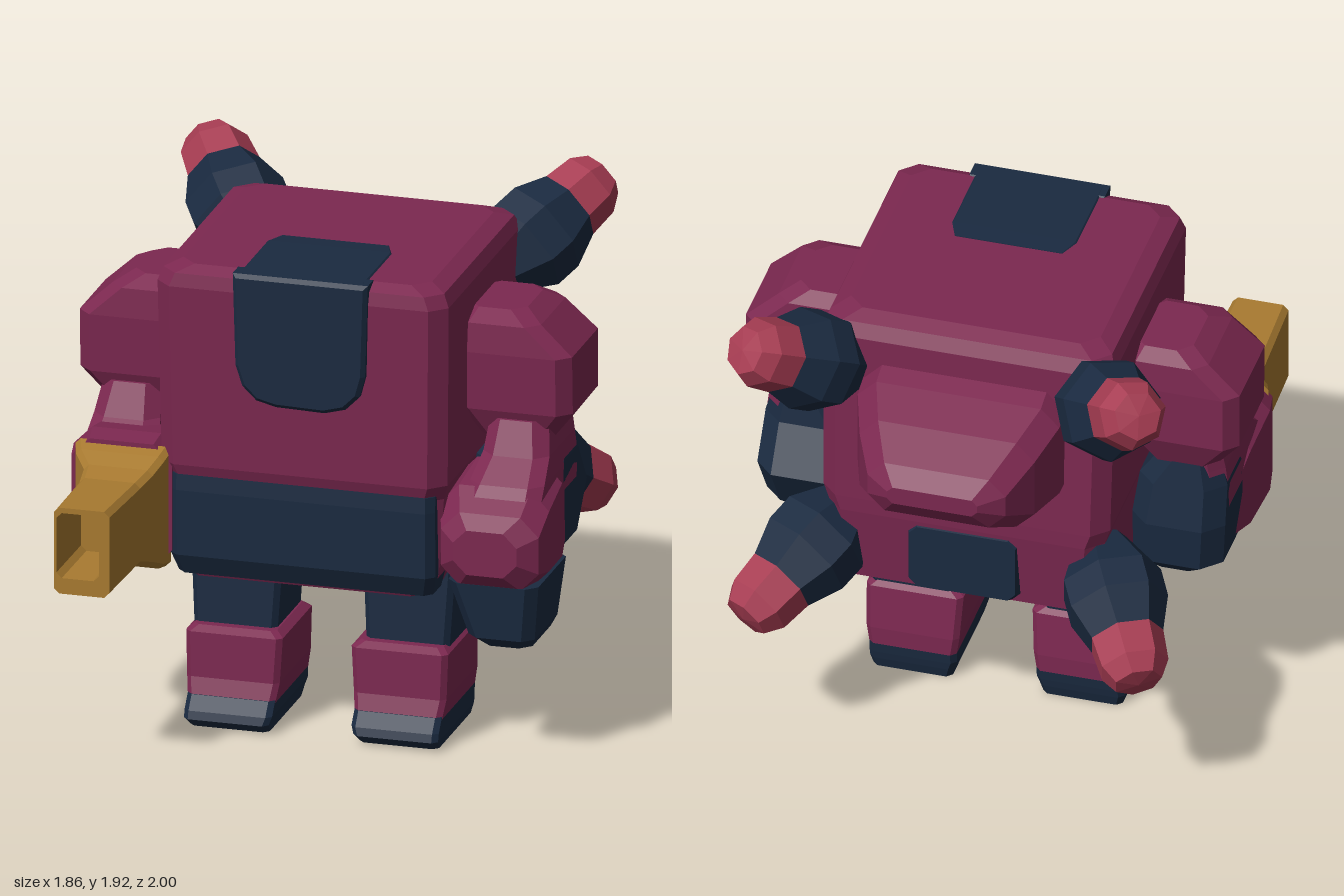
import * as THREE from 'three';

const MAROON = 0x7c2850, NAVY = 0x1a2a40, GOLD = 0xa87a30, RED = 0xa63c52;
const material = (color) => new THREE.MeshStandardMaterial({ color, flatShading: true, side: THREE.DoubleSide });

function add(parent, name, color, geometry) {
  const mesh = new THREE.Mesh(geometry, material(color));
  mesh.name = name;
  parent.add(mesh);
  return mesh;
}

// Chamfered block through rings [t, x0, x1, o0, o1] along 'y' (o is z) or 'z' (o is y)
function block(axis, rings, chamfer = 0.05, side = 1) {
  const pos = [], index = [], n = 8;
  for (const [t, xa, xb, o0, o1] of rings) {
    const x0 = Math.min(xa * side, xb * side), x1 = Math.max(xa * side, xb * side);
    const [a0, a1, b0, b1] = axis === 'y' ? [o0, o1, x0, x1] : [x0, x1, o0, o1];
    const c = Math.min(chamfer, (a1 - a0) * 0.3, (b1 - b0) * 0.3);
    const ring = [[a1, b0 + c], [a1, b1 - c], [a1 - c, b1], [a0 + c, b1],
      [a0, b1 - c], [a0, b0 + c], [a0 + c, b0], [a1 - c, b0]];
    for (const [a, b] of ring) pos.push(...(axis === 'y' ? [b, t, a] : [a, b, t]));
  }
  for (let r = 0; r < rings.length - 1; r++) {
    for (let i = 0; i < n; i++) {
      const a = r * n + i, b = r * n + (i + 1) % n;
      index.push(a, b, b + n, a, b + n, a + n);
    }
  }
  const last = (rings.length - 1) * n;
  for (let i = 1; i < n - 1; i++) index.push(0, i + 1, i, last, last + i, last + i + 1);
  const g = new THREE.BufferGeometry();
  g.setAttribute('position', new THREE.Float32BufferAttribute(pos, 3));
  g.setIndex(index);
  g.computeVertexNormals();
  return g;
}

// Thruster pod pointing from one point to another, navy body with a red cap
function thruster(name, from, to) {
  const g = new THREE.Group();
  g.name = name;
  const a = new THREE.Vector3(...from), dir = new THREE.Vector3(...to).sub(a);
  const len = dir.length();
  const lathe = (pts) => new THREE.LatheGeometry(pts.map(([r, y]) => new THREE.Vector2(r, y * len)), 7);
  add(g, 'thrusterBody', NAVY, lathe([[0, 0], [0.1, 0.1], [0.19, 0.36], [0.19, 0.54], [0.14, 0.76]]));
  add(g, 'thrusterCap', RED, lathe([[0.14, 0.76], [0.13, 0.96], [0.09, 1.07], [0, 1.09]]));
  g.position.copy(a);
  g.quaternion.setFromUnitVectors(new THREE.Vector3(0, 1, 0), dir.normalize());
  return g;
}

function buildBody(root) {
  const body = new THREE.Group();
  body.name = 'body';
  root.add(body);
  add(body, 'torso', MAROON, block('y', [
    [0.62, -0.46, 0.46, -0.44, 0.4], [0.7, -0.5, 0.5, -0.57, 0.44], [1.0, -0.52, 0.52, -0.6, 0.44],
    [1.06, -0.54, 0.54, -0.6, 0.46], [1.75, -0.55, 0.55, -0.57, 0.48],
    [1.8, -0.53, 0.53, -0.54, 0.47], [1.825, -0.47, 0.47, -0.48, 0.42]], 0.06));
  add(body, 'waistBand', NAVY, block('y', [
    [0.63, -0.48, 0.48, 0.25, 0.41], [0.71, -0.5, 0.5, 0.25, 0.45],
    [0.96, -0.5, 0.5, 0.25, 0.455], [1.02, -0.5, 0.5, 0.3, 0.45]], 0.03));
  add(body, 'rearPanel', NAVY, block('z', [
    [-0.605, -0.2, 0.2, 0.72, 0.98], [-0.55, -0.22, 0.22, 0.7, 1.0]], 0.03));

  // Visor plate wrapping from the front over the top
  const visor = new THREE.Shape();
  visor.moveTo(-0.23, 1.815);
  visor.lineTo(-0.22, 1.48);
  visor.quadraticCurveTo(-0.2, 1.35, -0.08, 1.345);
  visor.lineTo(0.1, 1.34);
  visor.quadraticCurveTo(0.23, 1.35, 0.24, 1.48);
  visor.lineTo(0.25, 1.815);
  const plate = add(body, 'visor', NAVY, new THREE.ExtrudeGeometry(visor,
    { depth: 0.07, curveSegments: 3, bevelEnabled: true, bevelSegments: 1, bevelSize: 0.015, bevelThickness: 0.015 }));
  plate.position.z = 0.42;
  add(body, 'visorTop', NAVY, block('z', [
    [0.04, -0.2, 0.22, 1.78, 1.827], [0.12, -0.23, 0.25, 1.78, 1.83], [0.48, -0.23, 0.25, 1.78, 1.83]], 0.01));

  // Rounded pack on the back
  add(body, 'backPack', MAROON, block('z', [
    [-1.0, -0.17, 0.17, 1.36, 1.43], [-0.94, -0.26, 0.26, 1.28, 1.49], [-0.8, -0.33, 0.33, 1.2, 1.57],
    [-0.65, -0.38, 0.38, 1.2, 1.63], [-0.55, -0.38, 0.38, 1.2, 1.66]], 0.07));
}

function buildArm(root, side) {
  const arm = new THREE.Group();
  arm.name = side > 0 ? 'leftArm' : 'rightArm';
  root.add(arm);
  add(arm, 'shoulder', MAROON, block('y', [
    [1.16, 0.57, 0.84, -0.2, 0.12], [1.28, 0.5, 0.93, -0.25, 0.17], [1.5, 0.5, 0.93, -0.25, 0.18],
    [1.61, 0.5, 0.81, -0.24, 0.17], [1.65, 0.52, 0.74, -0.19, 0.1]], 0.05, side));
  add(arm, 'elbow', MAROON, block('y', [
    [0.95, 0.56, 0.87, -0.18, 0.41], [1.05, 0.59, 0.87, -0.19, 0.33], [1.13, 0.61, 0.86, -0.19, 0.23],
    [1.25, 0.62, 0.84, -0.2, 0.17]], 0.05, side));
  // The left elbow juts further back
  const elbowBack = side > 0 ? -0.33 : -0.25;
  add(arm, 'forearm', NAVY, block('y', [
    [0.67, 0.56, 0.8, -0.18, 0.1], [0.73, 0.52, 0.86, -0.24, 0.12],
    [0.9, 0.52, 0.87, elbowBack, 0.12], [1.06, 0.54, 0.87, -0.22, 0.1], [1.17, 0.62, 0.84, -0.2, 0.0]], 0.07, side));
  if (side > 0) {
    add(arm, 'fist', MAROON, block('z', [
      [-0.02, 0.56, 0.86, 0.68, 1.0], [0.12, 0.5, 0.89, 0.66, 1.08],
      [0.32, 0.49, 0.9, 0.67, 1.04], [0.42, 0.52, 0.89, 0.69, 0.97], [0.47, 0.58, 0.82, 0.75, 0.92]], 0.07));
    // Curled fingers under the open hand
    add(arm, 'fingers', NAVY, block('y', [
      [0.45, 0.65, 0.84, 0.06, 0.37], [0.49, 0.61, 0.86, 0.04, 0.41], [0.7, 0.54, 0.88, 0.0, 0.43]], 0.04));
  } else {
    add(arm, 'cannonSleeve', MAROON, block('z', [
      [-0.02, -0.86, -0.56, 0.68, 1.02], [0.12, -0.88, -0.5, 0.64, 1.1],
      [0.34, -0.89, -0.49, 0.64, 1.13], [0.44, -0.87, -0.49, 0.65, 1.12]], 0.07));
    // Hollow square cannon with a flared root
    add(arm, 'cannon', GOLD, block('z', [
      [0.42, -0.86, -0.5, 0.65, 1.11], [0.48, -0.84, -0.51, 0.66, 1.09], [0.55, -0.79, -0.53, 0.69, 1.06],
      [0.64, -0.78, -0.55, 0.72, 1.04], [1.0, -0.77, -0.56, 0.72, 1.05],
      [1.0, -0.76, -0.6, 0.78, 1.03], [0.72, -0.75, -0.61, 0.79, 1.02]], 0.02));
  }
}

function buildLeg(root, side) {
  const leg = new THREE.Group();
  leg.name = side > 0 ? 'leftLeg' : 'rightLeg';
  root.add(leg);
  add(leg, 'thigh', NAVY, block('y', [
    [0.32, 0.17, 0.48, -0.13, 0.2], [0.5, 0.16, 0.49, -0.14, 0.19], [0.68, 0.15, 0.5, -0.14, 0.18]], 0.02, side));
  add(leg, 'shin', MAROON, block('y', [
    [0.11, 0.15, 0.48, -0.17, 0.29], [0.18, 0.14, 0.49, -0.17, 0.265],
    [0.35, 0.13, 0.495, -0.15, 0.26], [0.37, 0.16, 0.47, -0.13, 0.23]], 0.02, side));
  add(leg, 'foot', NAVY, block('y', [
    [0, 0.17, 0.47, -0.15, 0.29], [0.04, 0.16, 0.48, -0.16, 0.34],
    [0.07, 0.15, 0.48, -0.165, 0.33], [0.12, 0.15, 0.48, -0.17, 0.29]], 0.02, side));
}

export function createModel() {
  const root = new THREE.Group();
  root.name = 'robot';
  buildBody(root);
  for (const side of [1, -1]) {
    buildArm(root, side);
    buildLeg(root, side);
    root.add(thruster('upperThruster', [side * 0.42, 1.54, -0.45], [side * 0.72, 1.82, -0.85]));
    root.add(thruster('lowerThruster', [side * 0.44, 0.94, -0.38], [side * 0.72, 0.67, -0.84]));
  }
  return root;
}
